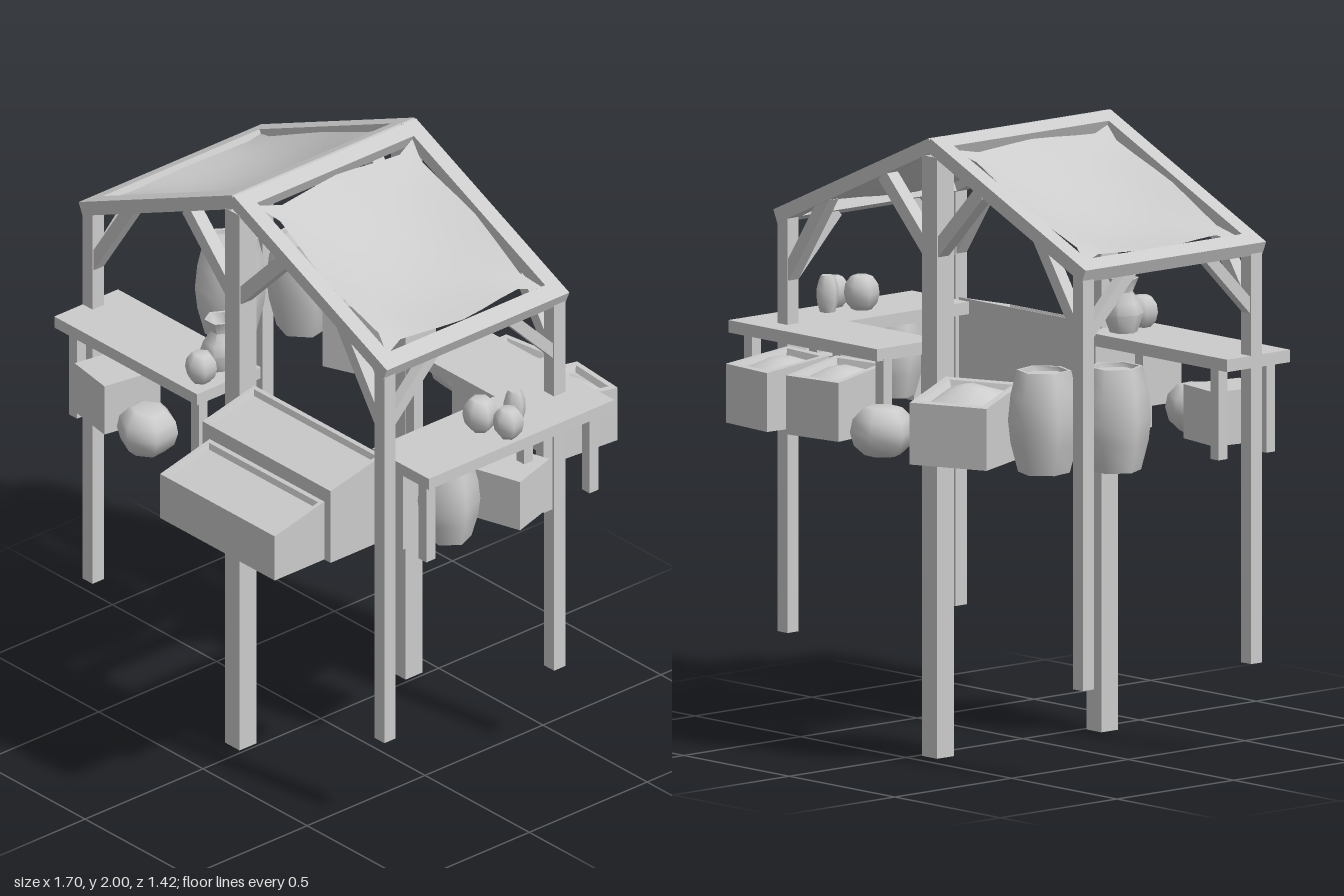
import * as THREE from 'three';
import { toCreasedNormals } from 'three/addons/utils/BufferGeometryUtils.js';

const mat = new THREE.MeshStandardMaterial({ color: 0xcccccc });
const flat = new THREE.MeshStandardMaterial({ color: 0xcccccc, flatShading: true });
const cloth = new THREE.MeshStandardMaterial({ color: 0xcccccc, side: THREE.DoubleSide });
const V = (x, y, z) => new THREE.Vector3(x, y, z);

export function createModel() {
  const root = new THREE.Group();

  function add(name, geo, x, y, z, ry = 0, parent = root, m = mat) {
    const mesh = new THREE.Mesh(geo, m);
    mesh.name = name;
    mesh.position.set(x, y, z);
    mesh.rotation.y = ry;
    parent.add(mesh);
    return mesh;
  }
  // box given by its limits
  function block(name, x0, x1, y0, y1, z0, z1, parent = root) {
    return add(name, new THREE.BoxGeometry(x1 - x0, y1 - y0, z1 - z0),
      (x0 + x1) / 2, (y0 + y1) / 2, (z0 + z1) / 2, 0, parent);
  }
  // square bar between two points
  function bar(name, a, b, t) {
    const mesh = add(name, new THREE.BoxGeometry(t, a.distanceTo(b), t), 0, 0, 0);
    mesh.position.copy(a).add(b).multiplyScalar(0.5);
    mesh.quaternion.setFromUnitVectors(V(0, 1, 0), b.clone().sub(a).normalize());
  }
  // six-sided turned vessel from a bottom-to-top profile
  function turned(name, profile, x, y, z, ry = 0) {
    const geo = new THREE.LatheGeometry(profile.map(p => new THREE.Vector2(...p)), 6);
    add(name, toCreasedNormals(geo, 1.15), x, y, z, ry);
  }
  // crate with a sloping, recessed top, filled to a given bulge; its low side faces local +z
  function crate(name, w, d, low, high, rim, recess, bulge, x, y, z, ry = 0) {
    const top = zz => low + (high - low) * (0.5 - zz / d);
    const loop = (inset, yOf) => [[-1, 1], [1, 1], [1, -1], [-1, -1]].map(([sx, sz]) => {
      const zz = sz * (d / 2 - inset);
      return [sx * (w / 2 - inset), yOf(zz), zz];
    });
    const floor = zz => top(zz) - recess;
    const loops = [loop(0, () => 0), loop(0, top), loop(rim * 0.7, top), loop(rim, floor)];
    const pos = [];
    const quad = (a, b, c, e) => pos.push(...a, ...b, ...c, ...a, ...c, ...e);
    for (let k = 0; k < 3; k++) {
      for (let i = 0; i < 4; i++) {
        const j = (i + 1) % 4;
        quad(loops[k][i], loops[k][j], loops[k + 1][j], loops[k + 1][i]);
      }
    }
    quad(...[...loops[0]].reverse());
    const geo = new THREE.BufferGeometry();
    geo.setAttribute('position', new THREE.Float32BufferAttribute(pos, 3));
    geo.computeVertexNormals();
    add(name, geo, x, y, z, ry, root, flat);

    const iw = w - 2 * rim, id = d - 2 * rim;
    const fill = new THREE.PlaneGeometry(iw, id, 4, 4).rotateX(-Math.PI / 2);
    const p = fill.attributes.position;
    for (let i = 0; i < p.count; i++) {
      const u = 2 * p.getX(i) / iw, v = 2 * p.getZ(i) / id;
      p.setY(i, floor(p.getZ(i)) + bulge * (1 - u * u) * (1 - v * v));
    }
    fill.computeVertexNormals();
    add(name + 'Filling', fill, x, y, z, ry);
  }

  const cx = -0.047, cz = -0.055;

  // posts and their diagonal braces
  for (const s of [1, -1]) {
    const zc = cz + s * 0.352, zs = cz + s * 0.36;
    block('centrePost', cx - 0.037, cx + 0.034, 0, 1.94, zc - 0.036, zc + 0.036);
    for (const t of [1, -1]) {
      const px = cx + t * 0.7;
      block('sidePost', px - 0.024, px + 0.024, 0.31, 1.65, zs - 0.024, zs + 0.024);
      bar('sideBrace', V(px - t * 0.01, 1.46, zs), V(cx + t * 0.5, 1.745, zs), 0.042);
      bar('centreBrace', V(cx + t * 0.02, 1.635, zs), V(cx + t * 0.23, 1.85, zs), 0.047);
      bar('eaveBrace', V(px, 1.455, zs - s * 0.01), V(px, 1.645, zs - s * 0.2), 0.038);
    }
  }

  // two roof slopes: timber frame with a sagging cloth
  const L = 0.81, hz = 0.387, edge = 0.055;
  const scallop = [0, 0.1, 0.08, 0.05, 0.03, 0.05, 0.075, 0.1, 0];
  for (const turn of [0, Math.PI]) {
    const roof = new THREE.Group();
    roof.name = 'roofSlope';
    roof.position.set(cx, 2, cz);
    roof.rotation.set(0, turn, -Math.atan2(0.33, 0.74));
    root.add(roof);
    block('ridgeBeam', 0.006, 0.06, -0.046, 0, edge - hz, hz - edge, roof);
    block('eaveBeam', L - 0.06, L, -0.046, 0, edge - hz, hz - edge, roof);
    for (const s of [1, -1]) {
      add('rafter', new THREE.BoxGeometry(L - 0.004, 0.046, edge), L / 2 + 0.002, -0.023, s * (hz - edge / 2), 0, roof);
    }
    const w = L - 0.12, d = 2 * (hz - edge);
    const geo = new THREE.PlaneGeometry(w, d, 8, 8).rotateX(-Math.PI / 2);
    const p = geo.attributes.position;
    for (let i = 0; i < p.count; i++) {
      const u = p.getX(i) / (w / 2), v = p.getZ(i) / (d / 2);
      const iu = scallop[i % 9], iv = scallop[Math.floor(i / 9)];
      p.setXYZ(i, (u * w / 2) * (1 - iv * Math.abs(u)),
        -0.06 * (1 - u * u) * (1 - v * v), (v * d / 2) * (1 - iu * Math.abs(v)));
    }
    geo.computeVertexNormals();
    add('roofCloth', geo, L / 2, -0.015, 0, 0, roof, cloth);
  }

  // tables: limits in x and z, leg centres in x and z
  const tables = [
    [-0.77, -0.085, 0.18, 0.45, [-0.692, -0.108], [0.215, 0.42]],
    [0.115, 0.82, -0.52, -0.25, [0.133, 0.755], [-0.475, -0.28]],
    [0.55, 0.82, -0.25, 0.267, [0.64, 0.752], [-0.2, 0.215]],
  ];
  for (const [x0, x1, z0, z1, lx, lz] of tables) {
    block('tableTop', x0, x1, 1.265, 1.305, z0, z1);
    for (const x of lx) for (const z of lz) {
      block('tableLeg', x - 0.019, x + 0.019, 0.97, 1.27, z - 0.019, z + 0.019);
    }
  }

  // stepped display chests at the front
  crate('rearChest', 0.615, 0.22, 0.26, 0.31, 0.02, 0.018, 0, 0.305, 1, 0.39);
  crate('frontChest', 0.55, 0.21, 0.16, 0.21, 0.02, 0.018, 0, 0.307, 1, 0.605);

  // heaped crates along the back, plain boxes under the tables
  crate('backCrate', 0.27, 0.27, 0.2, 0.24, 0.035, 0.02, 0.05, -0.302, 1, -0.515, Math.PI + 0.395);
  crate('backCrate', 0.215, 0.25, 0.19, 0.22, 0.03, 0.02, 0.03, 0.265, 1.02, -0.555, Math.PI + 0.148);
  crate('backCrate', 0.215, 0.25, 0.19, 0.22, 0.03, 0.02, 0.03, 0.52, 1.02, -0.58, Math.PI - 0.083);
  add('storageBox', new THREE.BoxGeometry(0.18, 0.175, 0.21), -0.568, 1.087, 0.36, -0.17);
  add('storageBox', new THREE.BoxGeometry(0.2, 0.175, 0.18), 0.728, 1.087, -0.15, 0.3);

  // barrels: radius, height, x, z, turn
  for (const [r, h, x, z, ry] of [[0.115, 0.33, -0.615, -0.465, 0.2], [0.115, 0.335, -0.738, -0.27, 0.45],
    [0.1, 0.265, 0.728, 0.1, 0.4]]) {
    turned('barrel', [[0, 0], [r * 0.72, 0], [r * 0.93, h * 0.28], [r, h * 0.5], [r * 0.93, h * 0.75],
      [r * 0.76, h], [r * 0.66, h], [r * 0.64, h - 0.015], [0, h - 0.015]], x, 1, z, ry);
  }

  // round pots: radius, height, x, base y, z, turn
  for (const [r, h, x, y, z, ry] of [[0.1, 0.15, -0.345, 0.99, 0.43, 0.1], [0.105, 0.155, 0, 0.99, -0.6, 0.45],
    [0.052, 0.1, -0.145, 1.305, 0.38, 0.1], [0.05, 0.1, 0.775, 1.305, -0.11, 0.2],
    [0.057, 0.11, 0.68, 1.305, -0.075, 0.3]]) {
    turned('roundPot', [[0, 0], [r * 0.55, 0], [r * 0.88, h * 0.2], [r, h * 0.48], [r * 0.92, h * 0.75],
      [r * 0.62, h * 0.97], [r * 0.5, h], [0, h]], x, y, z, ry);
  }

  // flared vase and small bottle on the table tops
  turned('vase', [[0, 0], [0.045, 0], [0.066, 0.06], [0.055, 0.095], [0.03, 0.13], [0.05, 0.175],
    [0.04, 0.175], [0.022, 0.13], [0, 0.125]], -0.177, 1.305, 0.272, Math.PI / 6);
  turned('bottle', [[0, 0], [0.025, 0], [0.035, 0.035], [0.036, 0.075], [0.028, 0.105], [0.022, 0.118],
    [0, 0.118]], 0.72, 1.305, -0.185, Math.PI / 6);

  return root;
}
